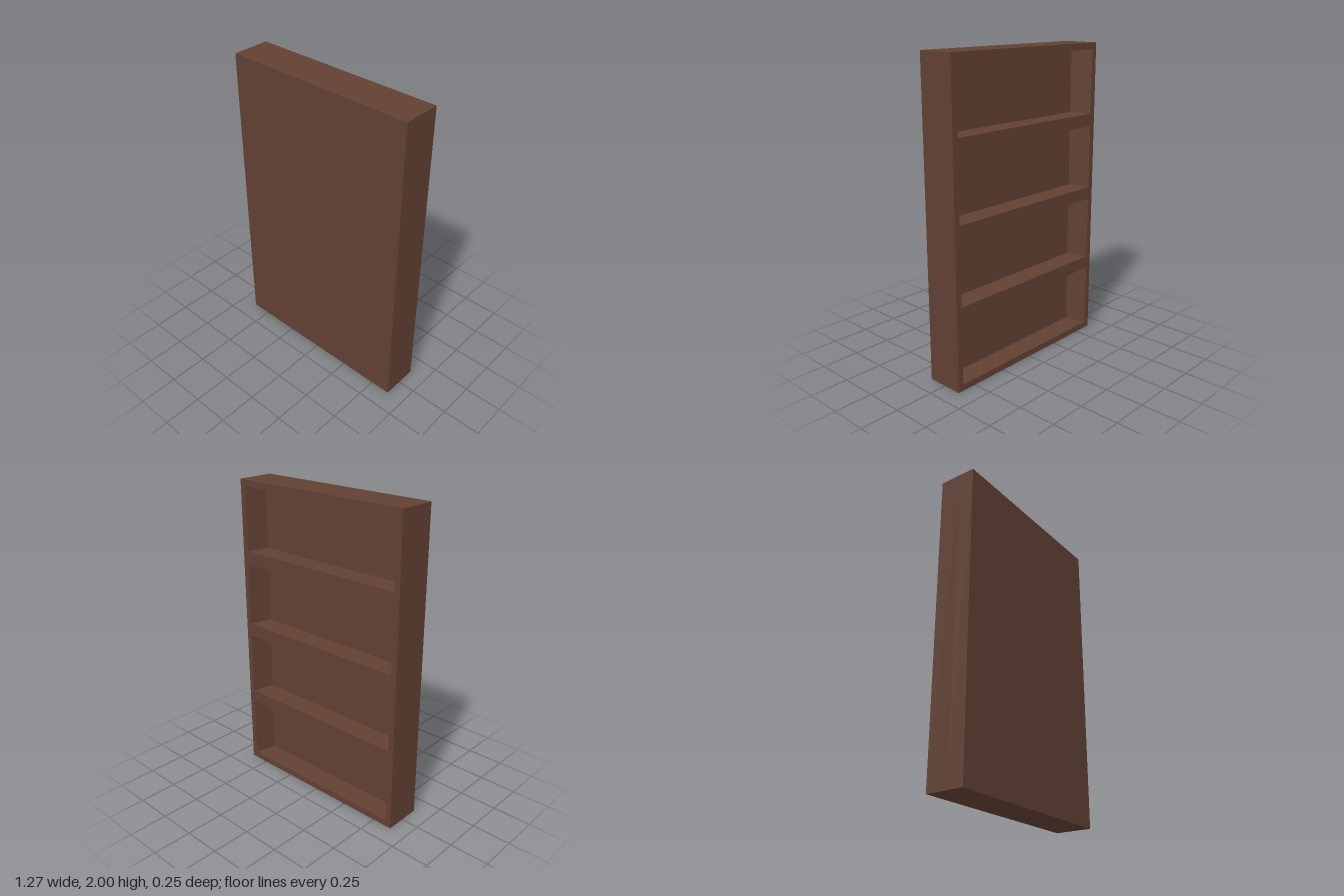
import * as THREE from 'three';

const W = 1.266, H = 2, D = 0.247;   // overall size
const SIDE = 0.038;                  // side wall thickness at the open back
const TAPER = 0.034;                 // extra side wall thickness deep inside a bay
const EDGE = 0.042;                  // top and bottom wall of each bay
const PANEL = 0.102;                 // closed front panel thickness
const BAYS = 4;

// Rectangle outline from its corners
function rect(Type, x0, y0, x1, y1) {
  const p = new Type();
  p.moveTo(x0, y0);
  p.lineTo(x1, y0);
  p.lineTo(x1, y1);
  p.lineTo(x0, y1);
  p.closePath();
  return p;
}

export function createModel() {
  const model = new THREE.Group();
  model.name = 'shelfUnit';
  const wood = new THREE.MeshStandardMaterial({ color: 0x614033 });
  wood.name = 'brown wood';

  // Outer frame and shelves in one piece, with an opening for each bay
  const outline = rect(THREE.Shape, -W / 2, 0, W / 2, H);
  const pitch = H / BAYS;
  for (let i = 0; i < BAYS; i++) {
    outline.holes.push(rect(THREE.Path,
      -W / 2 + SIDE, i * pitch + EDGE, W / 2 - SIDE, (i + 1) * pitch - EDGE));
  }
  const frameGeo = new THREE.ExtrudeGeometry(outline, { depth: D - PANEL, bevelEnabled: false });

  // Bays narrow inwards: shift the deep ends of their side walls
  const pos = frameGeo.attributes.position;
  for (let i = 0; i < pos.count; i++) {
    const x = pos.getX(i);
    if (pos.getZ(i) > 0.01 && Math.abs(x) < W / 2 - SIDE / 2) {
      pos.setX(i, x - Math.sign(x) * TAPER);
    }
  }
  frameGeo.computeVertexNormals();
  const frame = new THREE.Mesh(frameGeo, wood);
  frame.name = 'frameAndShelves';
  frame.position.z = -D / 2;
  model.add(frame);

  // Solid panel closing the front side
  const panel = new THREE.Mesh(new THREE.BoxGeometry(W, H, PANEL), wood);
  panel.name = 'frontPanel';
  panel.position.set(0, H / 2, D / 2 - PANEL / 2);
  model.add(panel);

  return model;
}
